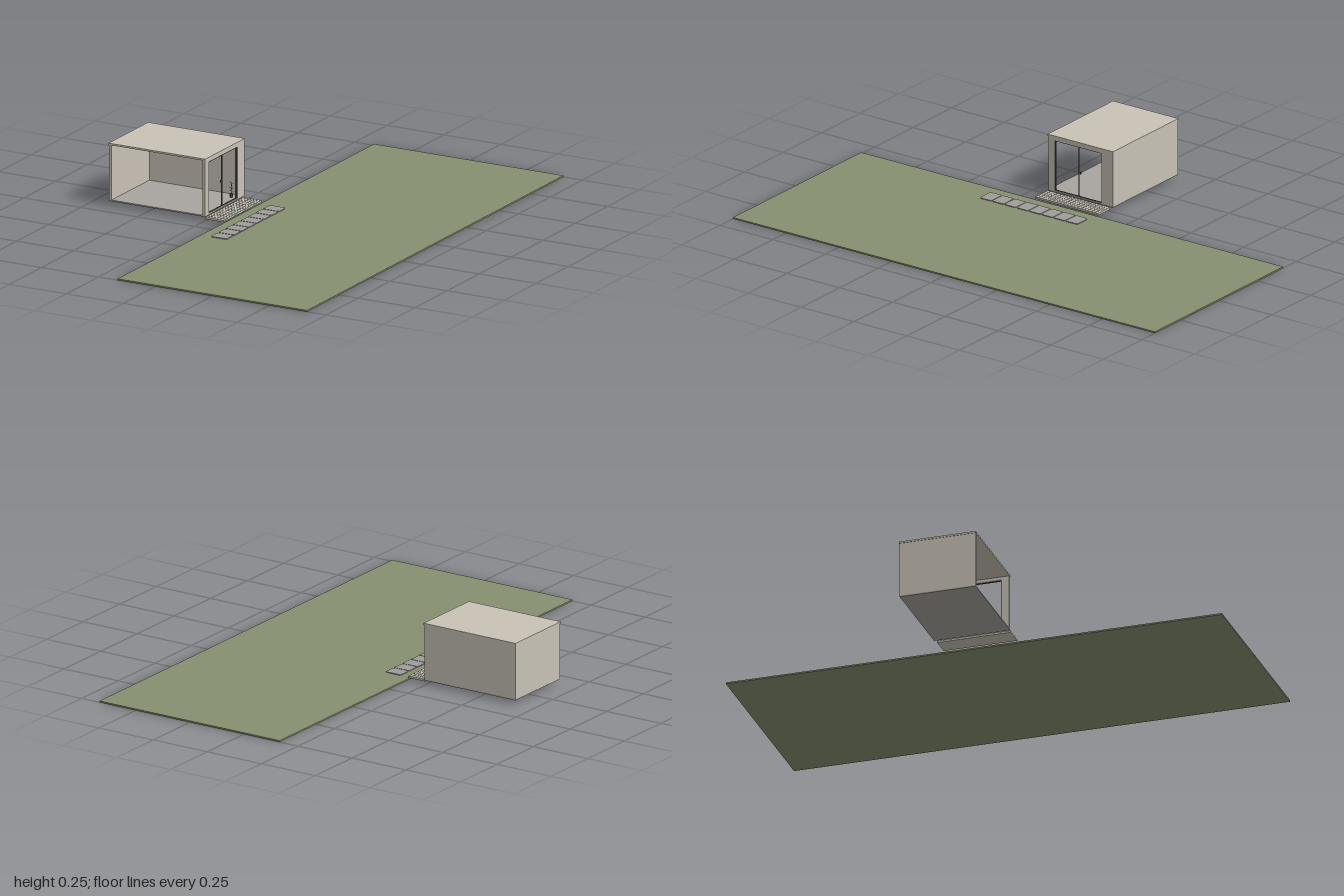
import * as THREE from 'three';

function material(name, color) {
  const m = new THREE.MeshStandardMaterial({ color });
  m.name = name;
  return m;
}

export function createModel() {
  const model = new THREE.Group();
  model.name = 'gardenRoom';
  const grass = material('grass green', 0x869070);
  const plaster = material('warm plaster', 0xc8c2b6);
  const floorGrey = material('floor grey', 0xa8a49e);
  const paving = material('paving grey', 0xa09d99);
  const dark = material('dark metal', 0x4a4842);
  const leaf = material('leaf green', 0x3f4a36);
  leaf.side = THREE.DoubleSide;

  // Box given by its lower and upper limits on each axis
  function box(name, mat, x0, x1, y0, y1, z0, z1, parent = model) {
    const mesh = new THREE.Mesh(new THREE.BoxGeometry(x1 - x0, y1 - y0, z1 - z0), mat);
    mesh.position.set((x0 + x1) / 2, (y0 + y1) / 2, (z0 + z1) / 2);
    mesh.name = name;
    parent.add(mesh);
    return mesh;
  }

  // Lawn
  box('lawn', grass, -0.165, 0.667, 0, 0.006, -1, 1);

  // Stepping stones with clipped corners
  const s = new THREE.Shape();
  const w = 0.035, d = 0.0275, c = 0.005;
  [[-w + c, -d], [w - c, -d], [w, -d + c], [w, d - c], [w - c, d], [-w + c, d], [-w, d - c], [-w, -d + c]]
    .forEach(([x, y], i) => (i ? s.lineTo(x, y) : s.moveTo(x, y)));
  s.closePath();
  const stoneGeo = new THREE.ExtrudeGeometry(s, { depth: 0.004, bevelEnabled: false });
  stoneGeo.rotateX(-Math.PI / 2);
  for (let i = 0; i < 8; i++) {
    const stone = new THREE.Mesh(stoneGeo, paving);
    stone.position.set(-0.085, 0.005, -0.08 + i * 0.0582);
    stone.name = 'steppingStone';
    model.add(stone);
  }

  // Terrace: slab covered in small tiles
  const terrace = new THREE.Group();
  terrace.name = 'terrace';
  model.add(terrace);
  box('terraceSlab', plaster, -0.245, -0.165, 0.01, 0.0165, -0.122, 0.175, terrace);
  const nx = 5, nz = 18, tx = 0.08 / nx, tz = 0.297 / nz, gap = 0.0007;
  for (let i = 0; i < nx; i++) {
    for (let j = 0; j < nz; j++) {
      const x = -0.245 + i * tx, z = -0.122 + j * tz;
      box('terraceTile', plaster, x + gap, x + tx - gap, 0.016, 0.018, z + gap, z + tz - gap, terrace);
    }
  }

  // Room shell, open towards the front
  const room = new THREE.Group();
  room.name = 'room';
  model.add(room);
  box('floor', floorGrey, -0.668, -0.247, 0.018, 0.023, -0.133, 0.173, room);
  box('roof', plaster, -0.67, -0.245, 0.243, 0.25, -0.135, 0.175, room);
  box('backWall', plaster, -0.668, -0.247, 0.018, 0.244, -0.133, -0.122, room);
  box('endWall', plaster, -0.668, -0.658, 0.018, 0.244, -0.133, 0.173, room);

  // Entrance wall with a wide opening; the shape is drawn in z and y
  const wall = new THREE.Shape();
  wall.moveTo(-0.133, 0.018).lineTo(0.173, 0.018).lineTo(0.173, 0.244).lineTo(-0.133, 0.244).closePath();
  const hole = new THREE.Path();
  hole.moveTo(-0.08, 0.024).lineTo(-0.08, 0.23).lineTo(0.143, 0.23).lineTo(0.143, 0.024).closePath();
  wall.holes.push(hole);
  const wallGeo = new THREE.ExtrudeGeometry(wall, { depth: 0.011, bevelEnabled: false });
  wallGeo.rotateY(-Math.PI / 2);
  const entrance = new THREE.Mesh(wallGeo, plaster);
  entrance.position.x = -0.247;
  entrance.name = 'entranceWall';
  room.add(entrance);

  // Slim door frame with a centre post and a handle
  const f = 0.003;
  for (const z of [-0.08, 0.03, 0.14]) {
    box('doorPost', dark, -0.255, -0.25, 0.023, 0.23, z, z + f, room);
  }
  for (const y of [0.023, 0.227]) {
    box('doorRail', dark, -0.255, -0.25, y, y + f, -0.08, 0.143, room);
  }
  box('doorHandle', dark, -0.262, -0.255, 0.114, 0.124, 0.026, 0.029, room);

  // Ceiling lamps
  for (const x of [-0.56, -0.36]) {
    const lamp = new THREE.Mesh(new THREE.CylinderGeometry(0.006, 0.006, 0.003, 16), dark);
    lamp.position.set(x, 0.242, 0.02);
    lamp.name = 'ceilingLamp';
    room.add(lamp);
  }

  // Small potted plant inside the entrance
  const plant = new THREE.Group();
  plant.name = 'plant';
  plant.position.set(-0.277, 0.023, -0.085);
  room.add(plant);
  const pot = new THREE.Mesh(new THREE.CylinderGeometry(0.007, 0.005, 0.014, 12), dark);
  pot.position.y = 0.007;
  pot.name = 'pot';
  plant.add(pot);
  const stem = new THREE.Mesh(new THREE.CylinderGeometry(0.0008, 0.001, 0.045, 6), leaf);
  stem.position.y = 0.034;
  stem.name = 'stem';
  plant.add(stem);
  const leafGeo = new THREE.CircleGeometry(0.005, 6);
  leafGeo.scale(1, 0.5, 1);
  leafGeo.translate(0.005, 0, 0);
  leafGeo.rotateX(-Math.PI / 2);
  for (let i = 0; i < 10; i++) {
    const l = new THREE.Mesh(leafGeo, leaf);
    l.position.y = 0.019 + i * 0.0041;
    l.rotation.set(0, i * 2.4, 0.5);
    l.name = 'leaf';
    plant.add(l);
  }
  return model;
}
